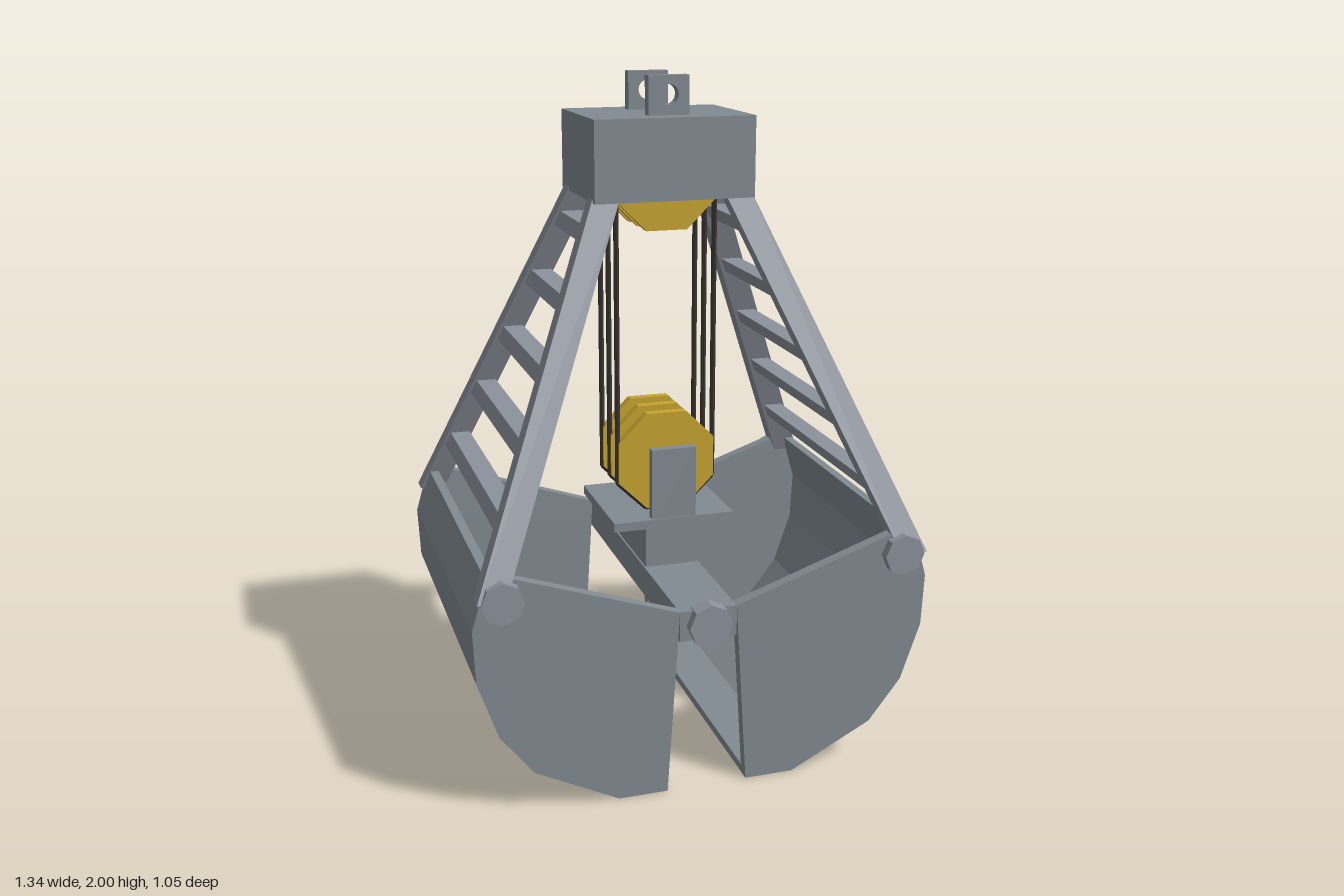
import * as THREE from 'three';

export function createModel() {
  const root = new THREE.Group();
  root.name = 'clamshellGrab';
  const mat = (name, color) => {
    const m = new THREE.MeshStandardMaterial({ color, flatShading: true });
    m.name = name;
    return m;
  };
  const steel = mat('steel grey', 0x828b92);
  const frame = mat('frame grey', 0x8c929c);
  const yellow = mat('sheave yellow', 0xc8a42f);
  const cable = mat('cable dark', 0x37332f);

  const add = (name, geo, material, x = 0, y = 0, z = 0) => {
    const m = new THREE.Mesh(geo, material);
    m.name = name;
    m.position.set(x, y, z);
    root.add(m);
    return m;
  };
  const box = (name, w, h, d, material, x, y, z) =>
    add(name, new THREE.BoxGeometry(w, h, d), material, x, y, z);

  // Eight-sided disc or pin lying along z
  const disc = (name, r, len, material, x, y, z, turn = 0) => {
    const g = new THREE.CylinderGeometry(r, r, len, 8);
    g.rotateY(turn).rotateX(Math.PI / 2);
    return add(name, g, material, x, y, z);
  };

  // Leaning bar with level ends: a box whose top and bottom are shifted
  const leaning = (name, w, d0, d1, a, b, material) => {
    const g = new THREE.BoxGeometry(1, 1, 1);
    const p = g.attributes.position;
    for (let i = 0; i < p.count; i++) {
      const top = p.getY(i) > 0;
      const e = top ? b : a;
      p.setXYZ(i, e[0] + p.getX(i) * w, e[1], e[2] + p.getZ(i) * (top ? d1 : d0));
    }
    g.computeVertexNormals();
    return add(name, g, material);
  };

  // Extrusion along z, centred on its own thickness
  const plate = (name, shape, depth, material, x, y, z) => {
    const g = new THREE.ExtrudeGeometry(shape, { depth, bevelEnabled: false, curveSegments: 8 });
    g.translate(0, 0, -depth / 2);
    return add(name, g, material, x, y, z);
  };
  const polygon = (pts, s) => new THREE.Shape(pts.map(([x, y]) => new THREE.Vector2(x * s, y)));

  // Head block with two lifting lugs
  box('headBlock', 0.47, 0.23, 0.37, steel, 0, 1.775, 0);
  for (const s of [1, -1]) {
    const lug = polygon([[-0.06, 0], [0.06, 0], [0.06, 0.11], [-0.06, 0.11]], 1);
    const hole = new THREE.Path();
    hole.absarc(0, 0.057, 0.029, 0, Math.PI * 2, true);
    lug.holes.push(hole);
    plate('liftingLug', lug, 0.035, steel, 0, 1.89, s * 0.1);
  }

  // Bucket halves: curved sheet closed by two end plates, open on top and at the mouth
  const outer = [[0.63, 0.72], [0.672, 0.575], [0.665, 0.42], [0.607, 0.25],
    [0.51, 0.125], [0.265, 0], [0.12, 0]];
  const inner = [[0.12, 0.025], [0.26, 0.025], [0.493, 0.145], [0.583, 0.263],
    [0.638, 0.425], [0.645, 0.575], [0.603, 0.72]];
  const endPlate = [[0.57, 0.72], ...outer, [0.09, 0.465], [0.085, 0.555]];
  for (const s of [1, -1]) {
    const side = s > 0 ? 'left' : 'right';
    plate(side + 'BucketSheet', polygon([...outer, ...inner], s), 0.922, steel, 0, 0, 0);
    for (const e of [1, -1]) {
      plate(side + 'BucketEnd', polygon(endPlate, s), 0.035, steel, 0, 0, e * 0.478);
      disc(side + 'ArmPin', 0.061, 0.05, frame, s * 0.59, 0.657, e * 0.5);
    }
  }

  // Four arms with rungs across each side
  const along = (y) => {
    const t = (y - 0.72) / 0.94;
    return [0.595 - 0.395 * t, y, 0.472 - 0.335 * t];
  };
  for (const s of [1, -1]) {
    for (const e of [1, -1]) {
      const at = (y) => { const p = along(y); return [p[0] * s, y, p[2] * e]; };
      leaning('arm', 0.08, 0.055, 0.055, at(0.66), at(1.68), frame);
    }
    for (let i = 0; i < 5; i++) {
      const y = 0.84 + i * 0.184;
      const a = along(y - 0.021), b = along(y + 0.021);
      leaning('rung', 0.06, a[2] * 2, b[2] * 2,
        [a[0] * s, a[1], 0], [b[0] * s, b[1], 0], frame);
    }
  }

  // Hinge beam, pedestal and sheave brackets
  box('hingeBeam', 0.17, 0.09, 0.99, steel, 0, 0.51, 0);
  box('pedestal', 0.16, 0.14, 0.3, steel, 0, 0.62, 0);
  box('basePlate', 0.37, 0.027, 0.36, steel, 0, 0.702, 0);
  for (const e of [1, -1]) {
    disc('hingePin', 0.065, 0.05, frame, 0, 0.512, e * 0.5);
    box('sheaveBracket', 0.136, 0.24, 0.028, steel, 0, 0.81, e * 0.162);
  }

  // Sheaves and axles
  disc('lowerAxle', 0.027, 0.3, yellow, 0, 0.885, 0);
  disc('upperAxle', 0.027, 0.3, yellow, 0, 1.71, 0);

  // Cable segment between two points in the plane of one sheave
  const segment = (a, b, z) => {
    const dx = b[0] - a[0], dy = b[1] - a[1];
    const m = add('cable', new THREE.CylinderGeometry(0.008, 0.008, Math.hypot(dx, dy), 6), cable,
      (a[0] + b[0]) / 2, (a[1] + b[1]) / 2, z);
    m.rotation.z = -Math.atan2(dx, dy);
  };
  for (const z of [-0.087, 0, 0.087]) {
    disc('lowerSheave', 0.16, 0.028, yellow, 0, 0.872, z, Math.PI / 8);
    disc('upperSheave', 0.16, 0.028, yellow, 0, 1.712, z, Math.PI / 8);
    const path = [[-0.148, 1.7], [-0.148, 0.808], [-0.062, 0.724],
      [0.062, 0.724], [0.148, 0.808], [0.148, 1.7]];
    for (let i = 1; i < path.length; i++) segment(path[i - 1], path[i], z);
  }
  return root;
}
